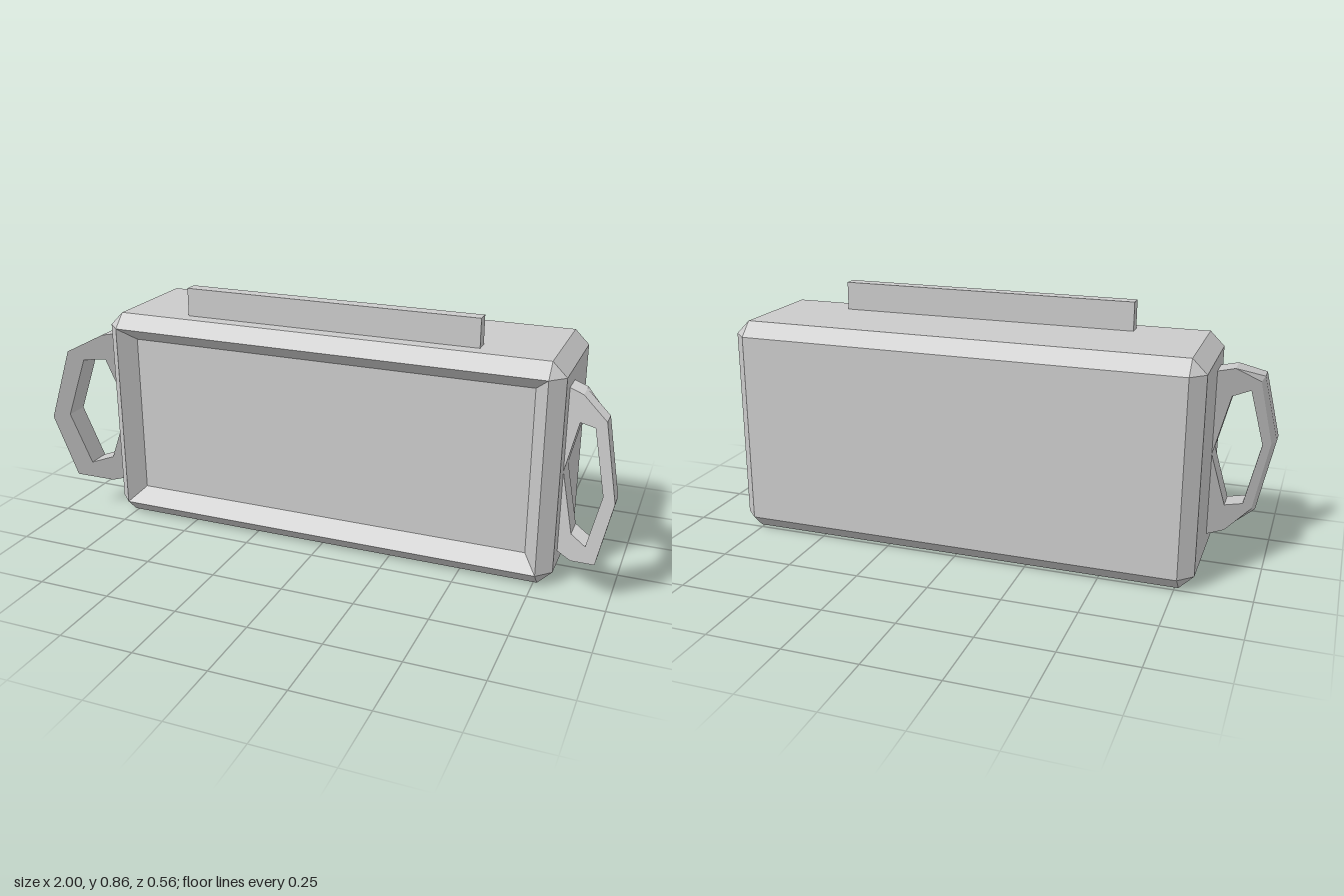
import * as THREE from 'three';

const material = new THREE.MeshStandardMaterial({ color: 0xcccccc, flatShading: true });
const MID_Y = 0.381;

// Skin over successive loops of equal point count, skipping collapsed triangles
function loft(loops) {
  const pos = [];
  const tri = (a, b, c) => {
    const area = b.clone().sub(a).cross(c.clone().sub(a)).length();
    if (area > 1e-7) for (const p of [a, b, c]) pos.push(p.x, p.y, p.z);
  };
  for (let k = 0; k + 1 < loops.length; k++) {
    const p = loops[k], q = loops[k + 1], n = p.length;
    for (let i = 0; i < n; i++) {
      const j = (i + 1) % n;
      tri(p[i], p[j], q[j]);
      tri(p[i], q[j], q[i]);
    }
  }
  const g = new THREE.BufferGeometry();
  g.setAttribute('position', new THREE.Float32BufferAttribute(pos, 3));
  g.computeVertexNormals();
  return g;
}

function addMesh(parent, name, geometry) {
  const mesh = new THREE.Mesh(geometry, material);
  mesh.name = name;
  parent.add(mesh);
  return mesh;
}

// Rectangle with cut corners, anticlockwise seen from the front
function cutRect(w, h, cut, z) {
  return [
    [-w + cut, -h], [w - cut, -h], [w, -h + cut], [w, h - cut],
    [w - cut, h], [-w + cut, h], [-w, h - cut], [-w, -h + cut],
  ].map(([x, y]) => new THREE.Vector3(x, MID_Y + y, z));
}

// One handle loop: half outline (base, corner, shoulder, elbow, tip) mirrored top to bottom.
// The handle slants 45 degrees forward; offset shifts the loop along z.
function handleLoop(half, offset, side) {
  const upper = half.slice(1, -1).reverse();
  const outline = [
    ...half.map(([x, y]) => [x, -y]),
    ...upper,
  ];
  const loop = outline.map(([x, y]) =>
    new THREE.Vector3(side * x, MID_Y + y, x - 0.81 + offset));
  return side > 0 ? loop : loop.reverse();
}

export function createModel() {
  const model = new THREE.Group();
  model.name = 'screenUnit';

  // Chamfered body with a raised front rim and sunken front panel
  const w = 0.81, h = 0.381, c = 0.048;
  addMesh(model, 'body', loft([
    cutRect(0, 0, 0, -0.28),
    cutRect(w - c, h - c, 0, -0.28),
    cutRect(w, h, c, -0.232),
    cutRect(w, h, c, 0.15),
    cutRect(w - c, h - c, 0, 0.198),
    cutRect(w - 2 * c, h - 2 * c, 0, 0.14),
    cutRect(0, 0, 0, 0.14),
  ]));

  // Top rail
  const rail = addMesh(model, 'topRail', new THREE.BoxGeometry(1.044, 0.1, 0.046));
  rail.position.set(0, 0.81, 0.079);

  // Slanted side handles with a six-sided opening
  const back = [[0.81, 0], [0.81, 0.284], [0.862, 0.284], [0.94, 0.226], [0.985, 0]];
  const outer = [[0.81, 0], [0.81, 0.284], [0.862, 0.284], [0.95, 0.238], [1.0, 0]];
  const hole = [[0.81, 0], [0.857, 0.191], [0.857, 0.191], [0.912, 0.2], [0.958, 0]];
  for (const [name, side] of [['leftHandle', 1], ['rightHandle', -1]]) {
    const rear = handleLoop(back, 0.007, side);
    addMesh(model, name, loft([
      rear,
      handleLoop(outer, 0.027, side),
      handleLoop(outer, 0.09, side),
      handleLoop(hole, 0.09, side),
      handleLoop(hole, 0.007, side),
      rear,
    ]));
  }
  return model;
}
